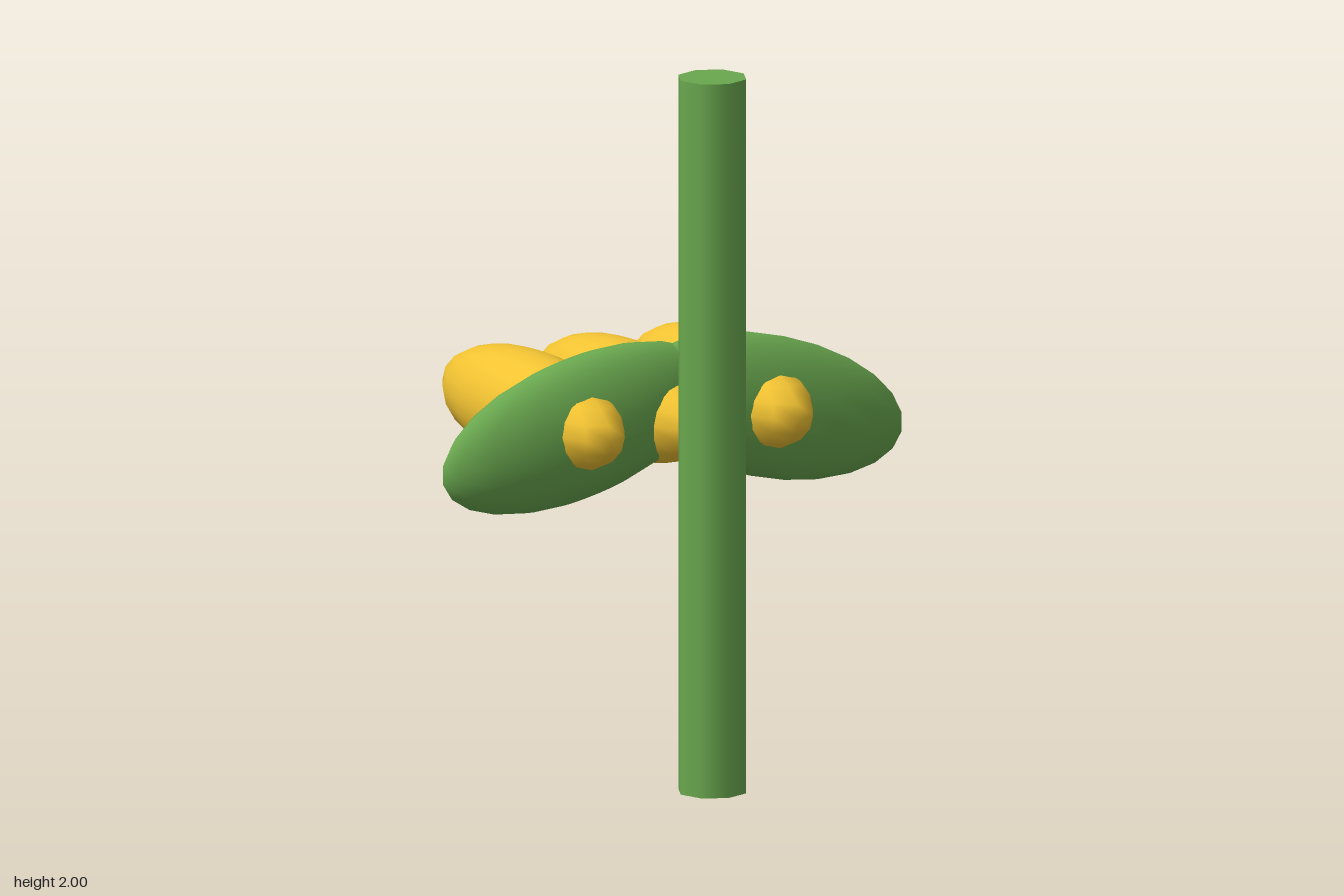
import * as THREE from 'three';

export function createModel() {
  const model = new THREE.Group();
  const green = new THREE.MeshStandardMaterial({ color: 0x6aa84f });
  const yellow = new THREE.MeshStandardMaterial({ color: 0xf1c232 });
  const ball = new THREE.SphereGeometry(1, 16, 12);

  function ellipsoid(name, material, radii, position, tilt = 0) {
    const mesh = new THREE.Mesh(ball, material);
    mesh.name = name;
    mesh.scale.set(...radii);
    mesh.position.set(...position);
    mesh.rotation.z = tilt;
    model.add(mesh);
  }

  // Eight-sided upright stem
  const stem = new THREE.Mesh(new THREE.CylinderGeometry(0.097, 0.097, 2, 8), green);
  stem.name = 'stem';
  stem.position.set(0, 1, 0.43);
  model.add(stem);

  // Two flat leaves drooping outward
  for (const side of [-1, 1]) {
    ellipsoid(side > 0 ? 'leftLeaf' : 'rightLeaf', green,
      [0.432, 0.197, 0.096], [side * 0.29, 1, 0.194], -side * 0.27);
  }

  // Row of three cobs passing through the leaves
  ['rightCob', 'middleCob', 'leftCob'].forEach((name, i) => {
    ellipsoid(name, yellow, [0.155, 0.157, 0.46], [(i - 1) * 0.29, 1, -0.069]);
  });

  return model;
}
